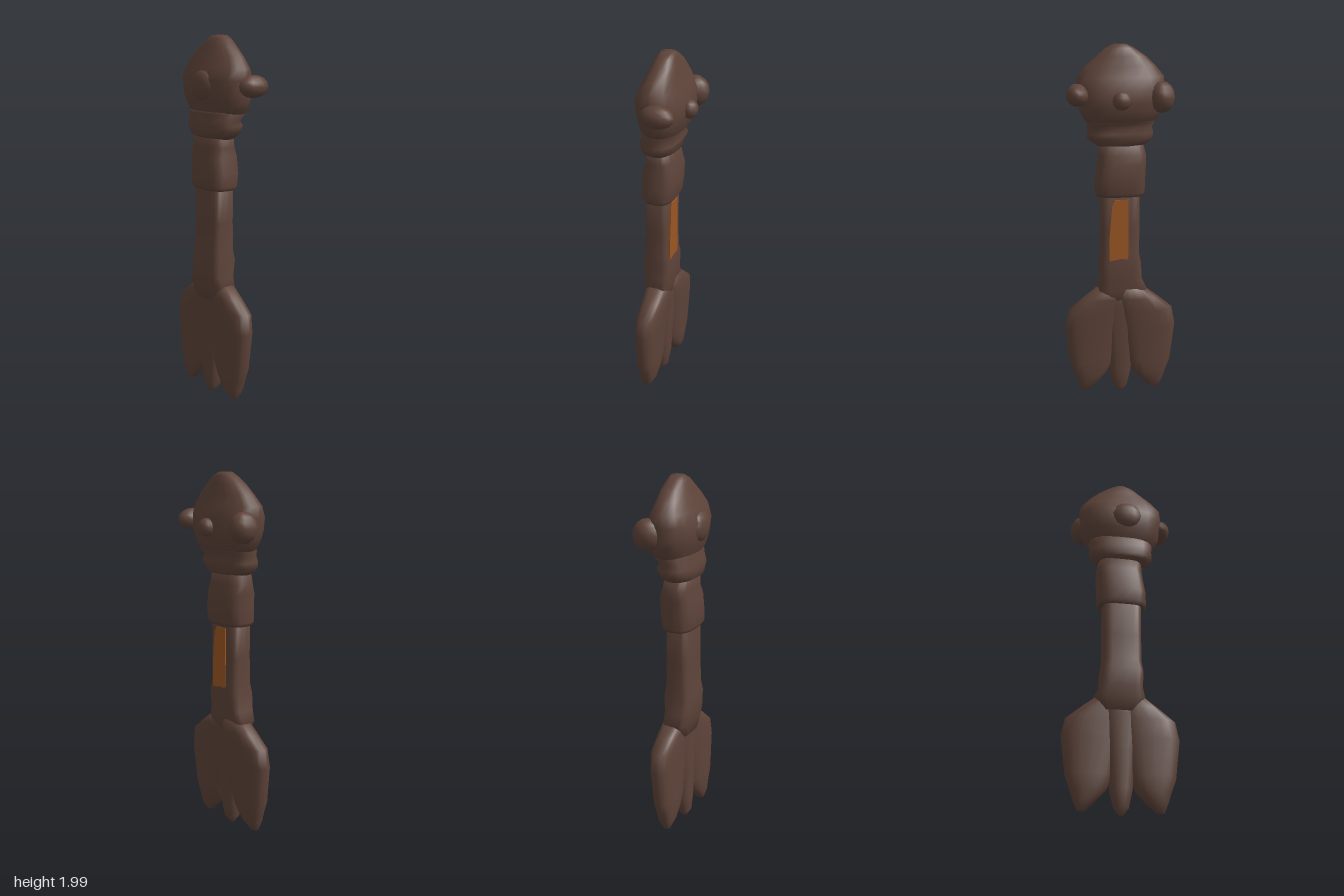
import * as THREE from 'three';

const SIDES = 20;

// Closed skin through rounded cross-sections, bottom to top: [y, xMin, xMax, zMin, zMax]
function loft(sections, power) {
  const pos = [], index = [], last = sections.length - 1;
  const bend = v => Math.sign(v) * Math.pow(Math.abs(v), 2 / power);
  for (const [y, x0, x1, z0, z1] of sections) {
    for (let j = 0; j < SIDES; j++) {
      const a = (j / SIDES) * Math.PI * 2;
      pos.push((x0 + x1) / 2 + bend(Math.cos(a)) * (x1 - x0) / 2, y,
        (z0 + z1) / 2 + bend(Math.sin(a)) * (z1 - z0) / 2);
    }
  }
  for (const i of [0, last]) {
    const [y, x0, x1, z0, z1] = sections[i];
    pos.push((x0 + x1) / 2, y, (z0 + z1) / 2);
  }
  const low = sections.length * SIDES, high = low + 1;
  for (let j = 0; j < SIDES; j++) {
    const k = (j + 1) % SIDES;
    for (let i = 0; i < last; i++) {
      const a = i * SIDES + j, b = i * SIDES + k;
      index.push(a, a + SIDES, b, b, a + SIDES, b + SIDES);
    }
    index.push(low, j, k, high, last * SIDES + k, last * SIDES + j);
  }
  const g = new THREE.BufferGeometry();
  g.setAttribute('position', new THREE.Float32BufferAttribute(pos, 3));
  g.setIndex(index);
  g.computeVertexNormals();
  return g;
}

export function createModel() {
  const model = new THREE.Group();
  const brown = new THREE.MeshStandardMaterial({ name: 'darkBrown', color: 0x5d4339 });
  const orange = new THREE.MeshStandardMaterial({ name: 'burntOrange', color: 0x9a5622 });

  const add = (name, geometry, material = brown) => {
    const mesh = new THREE.Mesh(geometry, material);
    mesh.name = name;
    model.add(mesh);
    return mesh;
  };

  // Shaft with a swollen lower end
  add('shaft', loft([
    [0.56, -0.10, 0.02, -0.10, 0.10],
    [0.64, -0.11, 0.03, -0.15, 0.13],
    [0.70, -0.125, 0.035, -0.12, 0.115],
    [0.79, -0.125, 0.042, -0.115, 0.12],
    [0.85, -0.115, 0.032, -0.105, 0.11],
    [1.00, -0.11, 0.03, -0.105, 0.11],
    [1.22, -0.11, 0.03, -0.105, 0.11],
  ], 4));

  // Inlay on the left face, with clipped corners
  const outline = new THREE.Shape([
    [-0.065, 0.81], [0.025, 0.82], [0.035, 0.84], [0.035, 1.165],
    [-0.04, 1.165], [-0.055, 1.13], [-0.07, 0.95], [-0.07, 0.83],
  ].map(([u, v]) => new THREE.Vector2(u, v)));
  const inlay = add('inlay', new THREE.ExtrudeGeometry(outline, { depth: 0.008, bevelEnabled: false }), orange);
  inlay.rotation.y = Math.PI / 2;
  inlay.position.x = 0.027;

  // Blade: a central prong between two broad lobes
  add('middleProng', loft([
    [0.01, -0.065, -0.04, -0.012, 0.012],
    [0.05, -0.09, -0.01, -0.04, 0.04],
    [0.14, -0.095, 0.005, -0.06, 0.06],
    [0.35, -0.10, 0.015, -0.08, 0.08],
    [0.55, -0.10, 0.025, -0.11, 0.11],
    [0.68, -0.10, 0.02, -0.10, 0.10],
  ], 2.4));
  const lobe = [ // y, xMin, xMax, inner z, outer z
    [0.03, -0.075, -0.035, 0.18, 0.225],
    [0.08, -0.095, -0.005, 0.13, 0.245],
    [0.14, -0.10, 0.005, 0.075, 0.265],
    [0.21, -0.105, 0.012, 0.045, 0.29],
    [0.42, -0.105, 0.022, 0.00, 0.315],
    [0.52, -0.105, 0.03, -0.02, 0.295],
    [0.59, -0.10, 0.028, -0.03, 0.21],
    [0.65, -0.095, 0.02, -0.03, 0.13],
  ];
  add('frontLobe', loft(lobe, 2.5));
  add('backLobe', loft(lobe.map(([y, a, b, i, o]) => [y, a + 0.012, b + 0.012, -o, -i]), 2.5));

  // Collar above the shaft
  add('collar', loft([
    [1.18, -0.115, 0.04, -0.125, 0.13],
    [1.20, -0.13, 0.052, -0.135, 0.14],
    [1.27, -0.13, 0.062, -0.135, 0.14],
    [1.36, -0.128, 0.062, -0.14, 0.125],
    [1.41, -0.11, 0.045, -0.14, 0.12],
    [1.49, -0.11, 0.035, -0.12, 0.115],
  ], 3));

  // Folded neck
  add('neck', loft([
    [1.455, -0.10, 0.03, -0.12, 0.12],
    [1.475, -0.13, 0.06, -0.15, 0.15],
    [1.50, -0.125, 0.055, -0.18, 0.18],
    [1.53, -0.135, 0.075, -0.18, 0.18],
    [1.56, -0.12, 0.05, -0.175, 0.18],
    [1.59, -0.12, 0.085, -0.185, 0.185],
    [1.62, -0.11, 0.08, -0.18, 0.18],
  ], 2.5));

  // Domed head, narrowing to a crest
  add('head', loft([
    [1.57, -0.10, 0.06, -0.16, 0.16],
    [1.61, -0.12, 0.10, -0.20, 0.205],
    [1.66, -0.135, 0.105, -0.225, 0.225],
    [1.70, -0.145, 0.12, -0.235, 0.23],
    [1.77, -0.15, 0.115, -0.24, 0.24],
    [1.83, -0.125, 0.09, -0.235, 0.235],
    [1.89, -0.095, 0.07, -0.185, 0.19],
    [1.94, -0.075, 0.06, -0.13, 0.13],
    [1.98, -0.055, 0.045, -0.07, 0.085],
    [2.00, -0.04, 0.035, -0.03, 0.04],
  ], 2.3));

  // Lumps on the head
  for (const [name, at, radii] of [
    ['frontKnob', [0.035, 1.74, 0.24], [0.09, 0.06, 0.06]],
    ['backKnob', [0.06, 1.725, -0.21], [0.08, 0.085, 0.07]],
    ['sideNub', [0.12, 1.715, 0.015], [0.045, 0.05, 0.05]],
    ['rearBulge', [-0.125, 1.74, 0.02], [0.04, 0.08, 0.09]],
  ]) {
    const lump = add(name, new THREE.SphereGeometry(1, 12, 8));
    lump.position.set(...at);
    lump.scale.set(...radii);
  }
  return model;
}
